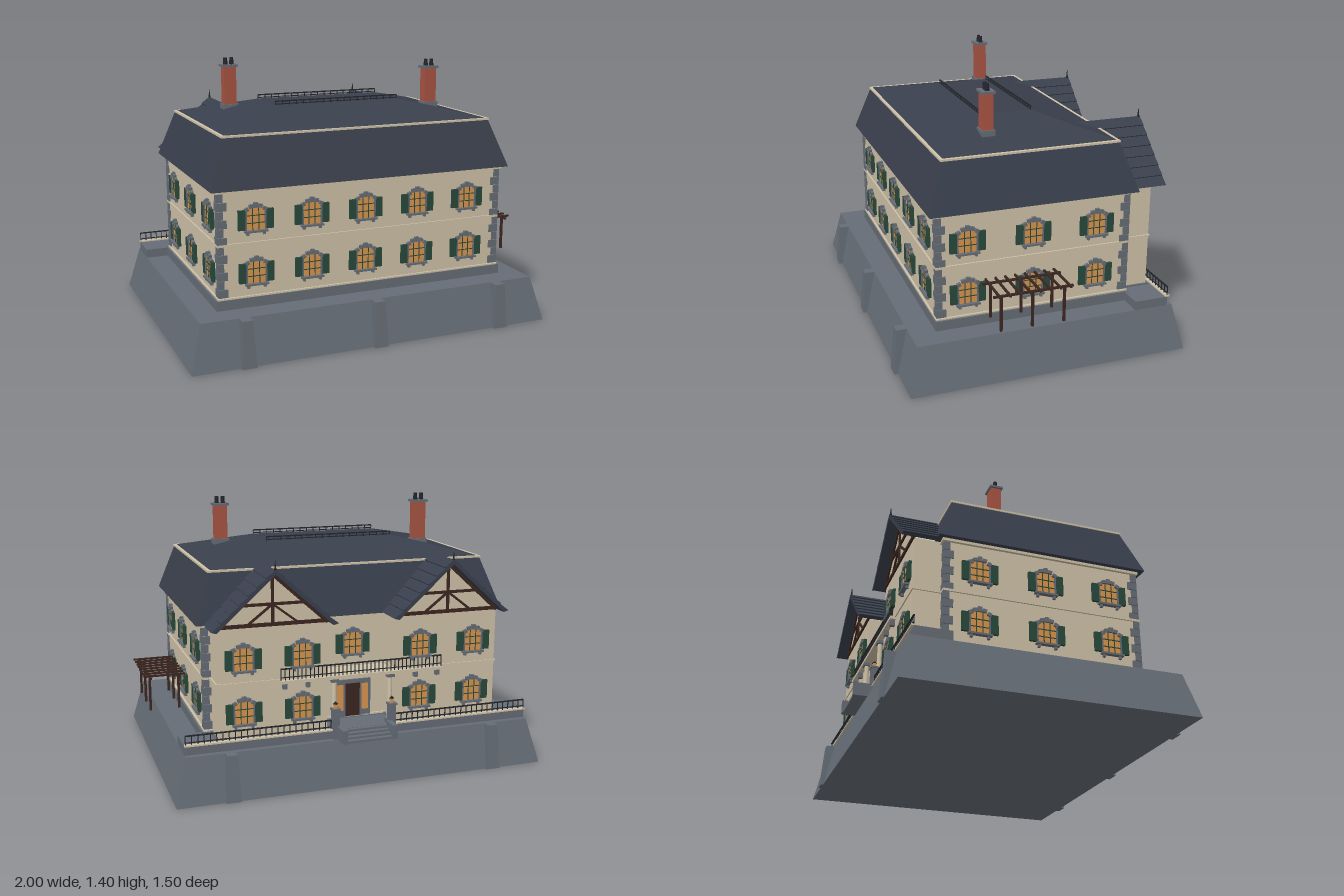
import * as THREE from 'three';

const mat = (name, color) => Object.assign(new THREE.MeshStandardMaterial({ color }), { name });
const M = {
  stone: mat('stone', 0x666d76),
  slate: mat('slate', 0x393f4c),
  plaster: mat('plaster', 0xcfc2a8),
  brick: mat('brick', 0xa85443),
  green: mat('shutterGreen', 0x29493b),
  glass: mat('warmGlass', 0xd9964f),
  wood: mat('darkTimber', 0x3c2620),
  iron: mat('iron', 0x22262c),
};

function add(parent, name, geo, material, x = 0, y = 0, z = 0) {
  const m = new THREE.Mesh(geo, material);
  m.name = name;
  m.position.set(x, y, z);
  parent.add(m);
  return m;
}
const box = (p, name, mt, w, h, d, x, y, z) => add(p, name, new THREE.BoxGeometry(w, h, d), mt, x, y, z);
// box given by its bottom height
const block = (p, name, mt, w, h, d, x, y0, z) => box(p, name, mt, w, h, d, x, y0 + h / 2, z);

function group(parent, name, x = 0, y = 0, z = 0, ry = 0) {
  const g = new THREE.Group();
  g.name = name;
  g.position.set(x, y, z);
  g.rotation.y = ry;
  parent.add(g);
  return g;
}

// box whose top has another size, standing on y = 0
function taper(w0, d0, w1, d1, h) {
  const g = new THREE.BoxGeometry(1, h, 1).translate(0, h / 2, 0);
  const p = g.attributes.position;
  for (let i = 0; i < p.count; i++) {
    const top = p.getY(i) > h / 2;
    p.setX(i, p.getX(i) * (top ? w1 : w0));
    p.setZ(i, p.getZ(i) * (top ? d1 : d0));
  }
  g.computeVertexNormals();
  return g;
}

// bar between two points in the xy plane
function bar(p, name, mt, x0, y0, x1, y1, z, t = 0.014, d = 0.012) {
  const m = box(p, name, mt, Math.hypot(x1 - x0, y1 - y0), t, d, (x0 + x1) / 2, (y0 + y1) / 2, z);
  m.rotation.z = Math.atan2(y1 - y0, x1 - x0);
}

// railing along x, standing on y = 0
function railing(parent, name, len, h, n, x, y, z) {
  const g = group(parent, name, x, y, z);
  box(g, 'topRail', M.iron, len, 0.006, 0.008, 0, h, 0);
  box(g, 'bottomRail', M.iron, len, 0.004, 0.005, 0, h * 0.25, 0);
  for (let i = 0; i <= n; i++) block(g, 'baluster', M.iron, 0.004, h, 0.004, (i / n - 0.5) * len, 0, 0);
  return g;
}

// arched window facing +z, origin at the bottom of the glass
function makeWindow(shutters = true) {
  const g = new THREE.Group();
  g.name = 'window';
  const s = new THREE.Shape();
  s.moveTo(-0.048, 0);
  s.lineTo(0.048, 0);
  s.lineTo(0.048, 0.1);
  s.quadraticCurveTo(0, 0.135, -0.048, 0.1);
  add(g, 'glass', new THREE.ExtrudeGeometry(s, { depth: 0.005, bevelEnabled: false, curveSegments: 8 }), M.glass);
  for (const x of [-0.016, 0.016]) block(g, 'mullion', M.green, 0.004, 0.113, 0.004, x, 0, 0.006);
  for (const y of [0.036, 0.074]) box(g, 'glazingBar', M.green, 0.096, 0.004, 0.004, 0, y, 0.006);
  for (const k of [-1, 1]) {
    block(g, 'jamb', M.stone, 0.007, 0.1, 0.014, k * 0.05, 0, 0.005);
    block(g, 'sillBracket', M.stone, 0.012, 0.016, 0.016, k * 0.043, -0.024, 0.007);
    if (shutters) block(g, 'shutter', M.green, 0.036, 0.1, 0.014, k * 0.073, 0.004, 0.007);
  }
  box(g, 'sill', M.stone, 0.12, 0.01, 0.026, 0, -0.005, 0.01);
  for (let i = -2; i <= 2; i++) {
    const b = box(g, 'archStone', M.stone, 0.021, i ? 0.018 : 0.026, 0.018, i * 0.0235, 0.126 - i * i * 0.0052, 0.006);
    b.rotation.z = -i * 0.2;
  }
  return g;
}

function placeWindows(parent, xs, z, ry, proto) {
  for (const x of xs) for (const y of [0.355, 0.625]) {
    const holder = group(parent, 'windowBay', 0, 0, 0, ry);
    const w = proto.clone();
    w.position.set(x, y, z);
    holder.add(w);
  }
}

function chimney(parent, x, z, top) {
  const g = group(parent, 'chimney', x, 0, z);
  block(g, 'chimneyBase', M.stone, 0.085, 0.04, 0.068, 0, 1.115, 0);
  block(g, 'chimneyStack', M.brick, 0.068, top - 1.1, 0.055, 0, 1.09, 0);
  block(g, 'chimneyCap', M.stone, 0.088, 0.012, 0.07, 0, top - 0.012, 0);
  for (const k of [-1, 1])
    add(g, 'chimneyPot', new THREE.CylinderGeometry(0.01, 0.012, 0.036, 10), M.iron, k * 0.017, top + 0.018, 0);
}

// gabled rear wing
function wing(parent, x, proto) {
  const g = group(parent, 'wing', x);
  block(g, 'wingPlinth', M.stone, 0.58, 0.055, 0.16, 0, 0.235, -0.55);
  block(g, 'wingWall', M.plaster, 0.56, 0.55, 0.2, 0, 0.285, -0.517);
  block(g, 'wingBelt', M.plaster, 0.574, 0.01, 0.2, 0, 0.555, -0.523);
  const gable = new THREE.Shape([[-0.28, 0.83], [0.28, 0.83], [0, 1.09]].map(a => new THREE.Vector2(...a)));
  add(g, 'gableWall', new THREE.ExtrudeGeometry(gable, { depth: 0.15, bevelEnabled: false }), M.plaster, 0, 0, -0.617);
  // stepped slate courses
  const n = 7, right = [];
  for (let i = 0; i < n; i++) {
    const at = t => [0.315 * (1 - t), 0.835 + 0.285 * t];
    const [x0, y0] = at(i / n), [x1, y1] = at((i + 1) / n);
    right.push([x0 + 0.004, y0 + 0.005], [x1, y1]);
  }
  const left = right.slice(0, -1).reverse().map(([a, b]) => [-a, b]);
  const outline = [[0.292, 0.832], ...right, ...left, [-0.292, 0.832], [0, 1.097]];
  const roof = new THREE.Shape(outline.map(a => new THREE.Vector2(...a)));
  add(g, 'wingRoof', new THREE.ExtrudeGeometry(roof, { depth: 0.37, bevelEnabled: false }), M.slate, 0, 0, -0.683);
  // timber framing and finial
  const z = -0.62;
  bar(g, 'tieBeam', M.wood, -0.29, 0.845, 0.29, 0.845, z, 0.018);
  bar(g, 'collarBeam', M.wood, -0.165, 0.945, 0.165, 0.945, z);
  bar(g, 'kingPost', M.wood, 0, 0.84, 0, 1.09, z);
  for (const k of [-1, 1]) {
    bar(g, 'rafter', M.wood, k * 0.28, 0.838, 0, 1.091, z, 0.018);
    bar(g, 'brace', M.wood, k * 0.13, 0.845, 0, 0.945, z, 0.011);
  }
  add(g, 'finial', new THREE.ConeGeometry(0.007, 0.055, 8), M.iron, 0, 1.14, -0.675);
  placeWindows(g, [-0.15, 0.15], 0.617, Math.PI, proto);
}

export function createModel() {
  const root = new THREE.Group();
  root.name = 'villa';
  const v = group(root, 'villaBody', -0.02);
  const zc = 0.03;

  // sloped base with buttresses
  add(v, 'base', taper(1.96, 1.46, 1.84, 1.355, 0.235), M.stone);
  for (const x of [-0.7, 0, 0.7]) {
    add(v, 'buttress', taper(0.075, 0.14, 0.054, 0.1, 0.235), M.stone, x, 0, 0.68);
    if (x) add(v, 'buttress', taper(0.075, 0.14, 0.054, 0.1, 0.235), M.stone, x, 0, -0.672);
  }

  // main house
  block(v, 'plinth', M.stone, 1.6, 0.05, 1.04, 0, 0.235, zc);
  block(v, 'plinthBand', M.plaster, 1.58, 0.01, 1.03, 0, 0.283, zc);
  block(v, 'walls', M.plaster, 1.56, 0.55, 1.01, 0, 0.287, zc);
  block(v, 'beltCourse', M.plaster, 1.576, 0.012, 1.026, 0, 0.554, zc);
  block(v, 'cornice', M.plaster, 1.59, 0.014, 1.04, 0, 0.821, zc);
  for (const sx of [-1, 1]) for (const sz of [-1, 1]) for (let i = 0; i < 12; i++) {
    const s = i % 2 ? 0.032 : 0.05;
    block(v, 'cornerStone', M.stone, s, 0.041, s, sx * (0.787 - s / 2), 0.296 + i * 0.0437, zc + sz * (0.512 - s / 2));
  }

  // two-stage roof
  add(v, 'lowerRoof', taper(1.64, 1.09, 1.47, 0.92, 0.25), M.slate, 0, 0.835, zc);
  block(v, 'roofTrim', M.plaster, 1.482, 0.01, 0.932, 0, 1.08, zc);
  add(v, 'upperRoof', taper(1.465, 0.915, 0.7, 0.28, 0.088), M.slate, 0, 1.088, zc);
  for (const k of [-1, 1]) railing(v, 'ridgeRailing', 0.7, 0.02, 18, 0, 1.176, zc + k * 0.14);
  chimney(v, -0.51, -0.125, 1.367);
  chimney(v, 0.53, 0.197, 1.35);

  // windows
  const win = makeWindow();
  placeWindows(v, [-0.59, -0.295, 0, 0.295, 0.59], 0.535, 0, win);
  placeWindows(v, [-0.38, -0.04, 0.3], 0.78, Math.PI / 2, win);
  placeWindows(v, [-0.3, 0.04, 0.38], 0.78, -Math.PI / 2, win);

  // rear wings
  for (const k of [-1, 1]) wing(v, k * 0.465, win);

  // entrance between the wings
  const e = group(v, 'entrance', 0, 0, -0.475, Math.PI);
  const upper = makeWindow();
  upper.position.y = 0.625;
  e.add(upper);
  block(e, 'doorFrame', M.stone, 0.2, 0.2, 0.012, 0, 0.285, 0.004);
  block(e, 'door', M.wood, 0.076, 0.175, 0.012, 0, 0.29, 0.01);
  for (const k of [-1, 1]) block(e, 'sideLight', M.glass, 0.036, 0.14, 0.008, k * 0.068, 0.32, 0.008);

  // terrace with coping and railings
  block(v, 'terrace', M.stone, 1.84, 0.047, 0.18, 0, 0.235, -0.56);
  for (const k of [-1, 1]) {
    block(v, 'terraceCoping', M.plaster, 0.75, 0.008, 0.024, k * 0.545, 0.281, -0.652);
    railing(v, 'terraceRailing', 0.74, 0.046, 24, k * 0.545, 0.288, -0.652);
    block(v, 'gatePier', M.stone, 0.036, 0.15, 0.036, k * 0.152, 0.235, -0.65);
    block(v, 'pierCap', M.stone, 0.044, 0.01, 0.044, k * 0.152, 0.385, -0.65);
    block(v, 'lantern', M.glass, 0.016, 0.022, 0.016, k * 0.152, 0.395, -0.65);
    add(v, 'lanternRoof', new THREE.ConeGeometry(0.015, 0.014, 4), M.iron, k * 0.152, 0.424, -0.65);
    block(v, 'stairCheek', M.stone, 0.026, 0.07, 0.09, k * 0.134, 0.235, -0.705);
  }
  for (let i = 0; i < 4; i++)
    block(v, 'step', M.stone, 0.25, 0.046 - i * 0.011, 0.026, 0, 0.235, -0.658 - i * 0.025);

  // balcony on columns and brackets
  block(v, 'balconyFloor', M.plaster, 0.34, 0.016, 0.17, 0, 0.544, -0.56);
  block(v, 'balconyEdge', M.plaster, 0.87, 0.016, 0.034, 0, 0.544, -0.629);
  railing(v, 'balconyRailing', 0.86, 0.058, 40, 0, 0.56, -0.635);
  for (const k of [-1, 1]) {
    add(v, 'column', new THREE.CylinderGeometry(0.012, 0.015, 0.26, 14), M.plaster, k * 0.15, 0.415, -0.626);
    block(v, 'columnBase', M.stone, 0.038, 0.02, 0.038, k * 0.15, 0.283, -0.626);
    block(v, 'columnCapital', M.stone, 0.038, 0.018, 0.034, k * 0.15, 0.527, -0.628);
    for (const x of [0.29, 0.41]) block(v, 'balconyBracket', M.stone, 0.02, 0.03, 0.026, k * x, 0.515, -0.628);
  }

  // timber pergola at the side
  const p = group(v, 'pergola', 0.82, 0, 0.115);
  for (const x of [0.012, 0.165]) {
    for (const z of [-0.16, 0.005, 0.165]) block(p, 'pergolaPost', M.wood, 0.012, 0.185, 0.012, x, 0.283, z);
    block(p, 'pergolaBeam', M.wood, 0.012, 0.01, 0.41, x, 0.462, 0);
  }
  for (let i = 0; i < 8; i++) block(p, 'pergolaRafter', M.wood, 0.22, 0.01, 0.01, 0.09, 0.471, -0.18 + i * 0.0515);

  return root;
}
